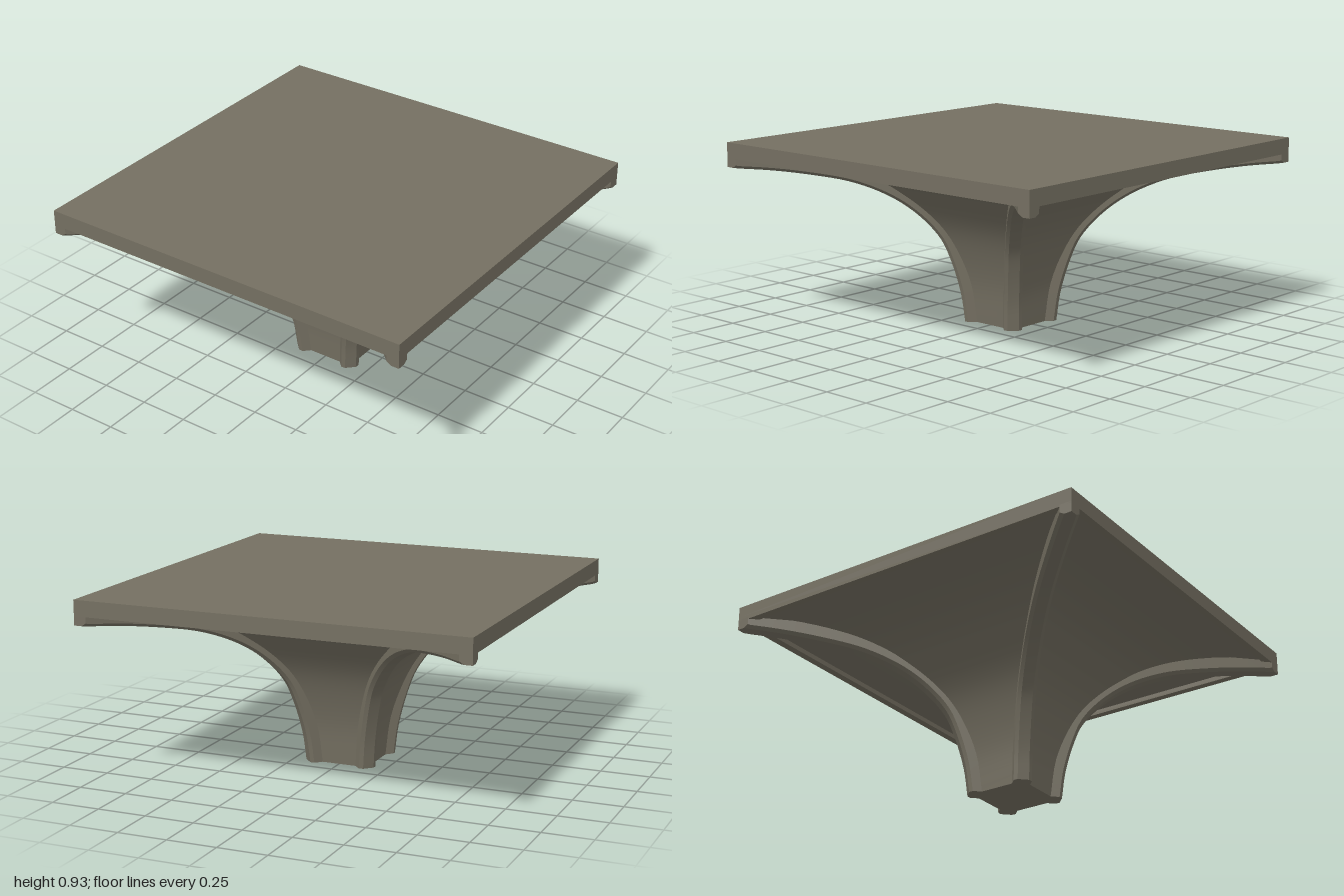
import * as THREE from 'three';
import { toCreasedNormals } from 'three/addons/utils/BufferGeometryUtils.js';

const curve = (pts) => new THREE.CatmullRomCurve3(pts.map(([p, y]) => new THREE.Vector3(p, y, 0)), false, 'centripetal');

function geometryFrom(positions, index) {
  const g = new THREE.BufferGeometry();
  g.setAttribute('position', new THREE.Float32BufferAttribute(positions, 3));
  g.setIndex(index);
  g.computeVertexNormals();
  return g;
}

// One curved web: a strip that widens as it flares out toward the slab (faces +z)
function webGeometry() {
  const pts = curve([[0.154, 0], [0.175, 0.2], [0.222, 0.37], [0.275, 0.49], [0.345, 0.59], [0.42, 0.67],
    [0.495, 0.735], [0.61, 0.8], [0.764, 0.847], [0.965, 0.876]]).getPoints(36);
  const pos = [], idx = [];
  pts.forEach(({ x: s, y }, i) => {
    pos.push(-s, y, s, s, y, s);
    const a = i * 2;
    if (i) idx.push(a - 2, a - 1, a + 1, a - 2, a + 1, a);
  });
  return geometryFrom(pos, idx);
}

// One bevelled rib swept along the diagonal and trimmed flush with the slab sides
function ribGeometry() {
  const path = curve([[0.165, 0], [0.18, 0.15], [0.215, 0.32], [0.25, 0.43], [0.31, 0.53], [0.385, 0.615],
    [0.47, 0.68], [0.575, 0.732], [0.7, 0.765], [0.84, 0.79], [1, 0.805]]);
  const section = [[-0.032, 0.1], [-0.032, 0.015], [-0.02, 0], [0, 0], [0.02, 0], [0.032, 0.015], [0.032, 0.1], [0, 0.1]];
  const n = 40, k = section.length, pos = [], idx = [];
  for (let i = 0; i <= n; i++) {
    const c = path.getPoint(i / n), t = path.getTangent(i / n);
    // inward direction in the diagonal plane, squared off at both ends
    const dir = new THREE.Vector2(-t.y, t.x * Math.SQRT2).normalize();
    if (i === 0) dir.set(-1, 0);
    if (i === n) dir.set(0, 1);
    section.forEach(([l, depth], j) => {
      const p = Math.min(c.x + depth * dir.x / Math.SQRT2, 1 - Math.abs(l));
      pos.push(p + l, Math.min(c.y + depth * dir.y, 0.86), p - l);
      if (i < n) {
        const a = i * k + j, b = i * k + (j + 1) % k;
        idx.push(a, b, b + k, a, b + k, a + k);
      }
    });
  }
  // foot cap, then the two end faces that meet at the slab corner
  for (let j = 1; j < k - 1; j++) idx.push(0, j + 1, j);
  const e = n * k;
  for (const [a, b, c] of [[3, 4, 5], [3, 5, 6], [3, 6, 7], [7, 0, 1], [7, 1, 2], [7, 2, 3]]) idx.push(e + a, e + b, e + c);
  return toCreasedNormals(geometryFrom(pos, idx), 0.6);
}

export function createModel() {
  const model = new THREE.Group();
  model.name = 'vaultedPillar';
  const stone = new THREE.MeshStandardMaterial({ color: 0x746f61 });
  stone.name = 'stone';
  const add = (name, geometry) => {
    const mesh = new THREE.Mesh(geometry, stone);
    mesh.name = name;
    model.add(mesh);
    return mesh;
  };

  // Floor slab with a shallow rim hanging below its edges
  add('slab', new THREE.BoxGeometry(2, 0.055, 2)).position.y = 0.9025;
  const square = (h) => [[-h, -h], [h, -h], [h, h], [-h, h]].map(([x, y]) => new THREE.Vector2(x, y));
  const frame = new THREE.Shape(square(1));
  frame.holes.push(new THREE.Path(square(0.96)));
  const rim = add('rim', new THREE.ExtrudeGeometry(frame, { depth: 0.025, bevelEnabled: false }));
  rim.rotation.x = -Math.PI / 2;
  rim.position.y = 0.85;

  // Underside of the pillar foot
  add('foot', new THREE.PlaneGeometry(0.308, 0.308)).rotation.x = Math.PI / 2;

  // Four webs and four diagonal ribs
  const web = webGeometry(), rib = ribGeometry();
  for (let i = 0; i < 4; i++) {
    add('web' + (i + 1), web).rotation.y = i * Math.PI / 2;
    add('rib' + (i + 1), rib).rotation.y = i * Math.PI / 2;
  }
  return model;
}
